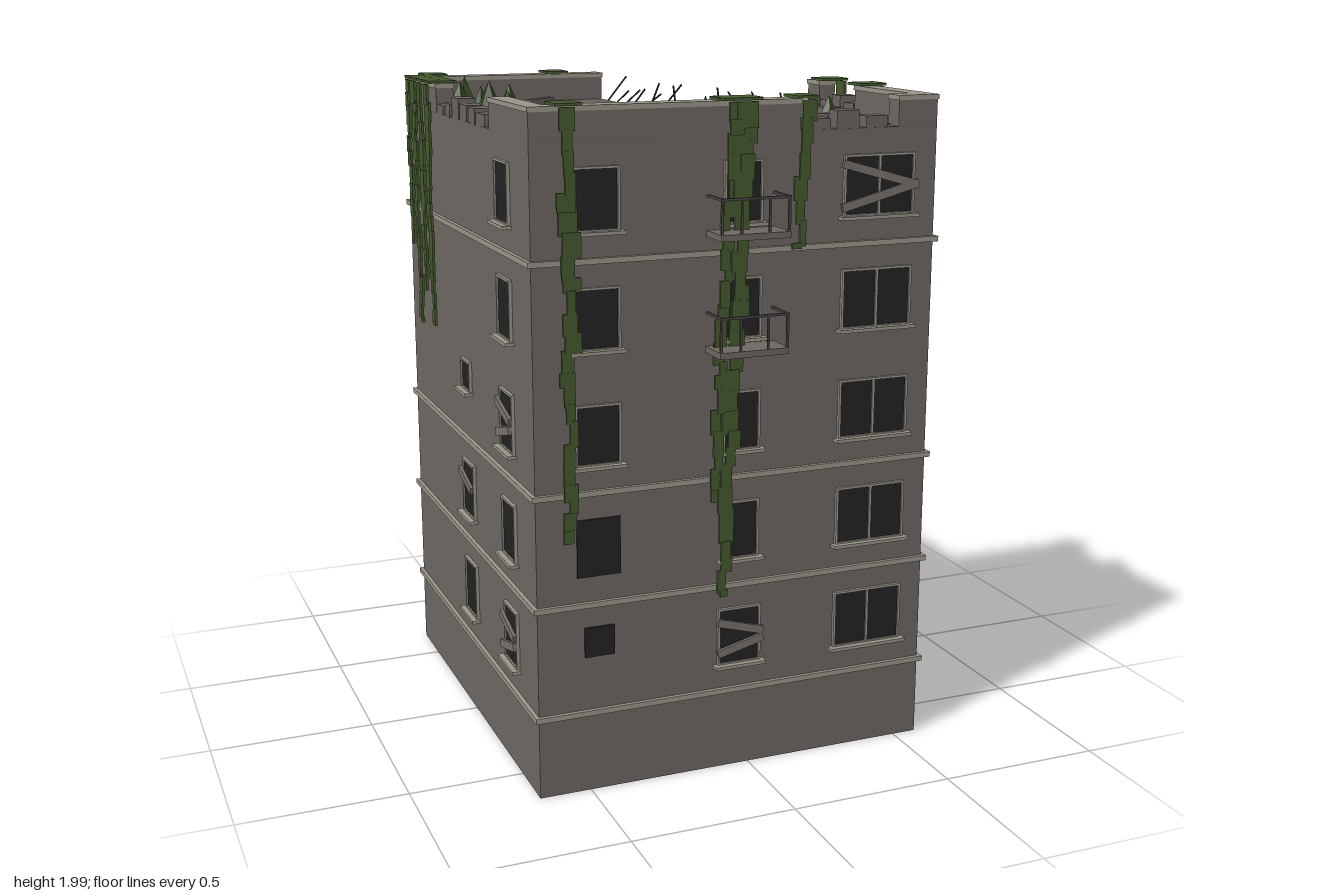
import * as THREE from 'three';

const mat = (name, color) => Object.assign(new THREE.MeshStandardMaterial({ color }), { name });

export function createModel() {
  const M = {
    wall: mat('wall concrete', 0x6e6763),
    roof: mat('roof surface', 0x65605b),
    trim: mat('pale trim', 0x9a948a),
    glass: mat('dark opening', 0x222222),
    rubble: mat('rubble', 0x6a6460),
    wood: mat('weathered board', 0x77706a),
    rail: mat('railing metal', 0x4c4745),
    bar: mat('rebar', 0x151413),
    vine: mat('vine', 0x45592f),
    bush: mat('bush', 0x32471f),
  };
  M.bush.flatShading = true;
  let seed = 11;
  const rnd = (a = 0, b = 1) => {
    seed = (seed * 16807) % 2147483647;
    return a + (b - a) * (seed / 2147483647);
  };
  const root = new THREE.Group();
  root.name = 'ruinedApartmentBlock';
  const group = (name, parent = root) => {
    const g = new THREE.Group();
    g.name = name;
    parent.add(g);
    return g;
  };
  const box = (parent, name, m, w, h, d, x, y, z, rx = 0, ry = 0, rz = 0) => {
    const b = new THREE.Mesh(new THREE.BoxGeometry(w, h, d), m);
    b.name = name;
    b.position.set(x, y, z);
    b.rotation.set(rx, ry, rz);
    parent.add(b);
    return b;
  };
  // box given by its extents
  const span = (parent, name, m, x0, x1, y0, y1, z0, z1) =>
    box(parent, name, m, x1 - x0, y1 - y0, z1 - z0, (x0 + x1) / 2, (y0 + y1) / 2, (z0 + z1) / 2);

  const X0 = -0.655, X1 = 0.575, Z = 0.67, NX = 0.01, NZ = -0.05, FLOOR = 1.24, TOP = 1.885;

  // Main body with the collapsed back corner
  const body = group('body');
  span(body, 'lowerBlock', M.wall, X0, X1, 0, FLOOR, -Z, Z);
  span(body, 'upperFront', M.wall, X0, X1, FLOOR, TOP, NZ, Z);
  span(body, 'upperBack', M.wall, X0, NX, FLOOR, TOP, -Z, NZ);
  span(body, 'roofFront', M.roof, X0, X1, TOP, TOP + 0.004, NZ, Z);
  span(body, 'roofBack', M.roof, X0, NX, TOP, TOP + 0.004, -Z, NZ);
  span(body, 'innerWallFront', M.glass, NX, X1, FLOOR, TOP, NZ - 0.006, NZ);
  span(body, 'innerWallSide', M.glass, NX, NX + 0.006, FLOOR, TOP, -Z, NZ);

  // Floor bands
  for (const y of [0.245, 0.575, 0.905])
    span(body, 'floorBand', M.trim, X0 - 0.012, X1 + 0.012, y - 0.008, y + 0.008, -Z - 0.012, Z + 0.012);
  span(body, 'upperBandFront', M.trim, X0 - 0.012, X1 + 0.012, 1.552, 1.568, NZ + 0.002, Z + 0.012);
  span(body, 'upperBandBack', M.trim, X0 - 0.012, NX - 0.002, 1.552, 1.568, -Z - 0.012, NZ + 0.01);

  // Parapet runs with pale caps, and broken blocks in the gaps
  const parapet = group('parapet');
  for (const [x0, x1, z0, z1] of [
    [X0, 0.14, 0.61, Z], [0.45, X1, 0.61, Z], [X0, -0.6, 0.3, 0.61], [X0, -0.6, -0.61, -0.28],
    [X0, NX, -Z, -0.61], [0.52, X1, 0.27, 0.61], [0.52, X1, NZ, 0.03]]) {
    span(parapet, 'parapetWall', M.wall, x0, x1, TOP, 1.963, z0, z1);
    span(parapet, 'parapetCap', M.trim, x0 - 0.003, x1 + 0.003, 1.963, 1.977, z0 - 0.003, z1 + 0.003);
  }
  for (let z = -0.24; z < 0.3; z += 0.09) {
    const h = rnd(0.03, 0.07);
    box(parapet, 'brokenBlock', M.rubble, 0.055, h, 0.08, -0.627, TOP + h / 2, z, 0, rnd(-0.1, 0.1));
  }
  for (let i = 0; i < 3; i++) {
    const h = rnd(0.03, 0.06);
    box(parapet, 'brokenBlock', M.rubble, 0.07, h, 0.055, 0.2 + i * 0.09, TOP + h / 2, 0.64, 0, rnd(-0.1, 0.1));
    box(parapet, 'brokenBlock', M.rubble, 0.055, h, 0.065, 0.547, TOP + h / 2, 0.07 + i * 0.08, 0, rnd(-0.1, 0.1));
  }

  // Each facade is a group whose local +z points out of the wall
  const facade = (name, x, z, ry) => {
    const g = group(name);
    g.position.set(x, 0, z);
    g.rotation.y = ry;
    return g;
  };
  const front = facade('frontFacade', 0, Z, 0);
  const right = facade('plusXFacade', X1, 0, Math.PI / 2); // local x = -z
  const back = facade('backFacade', 0, -Z, Math.PI); // local x = -x
  const left = facade('minusXFacade', X0, 0, -Math.PI / 2); // local x = z
  const rowY = (r) => 0.087 + r * 0.328;

  const win = (f, u, row, w, { h = 0.17, y = rowY(row), bars = 0, frame = true, boards = 0 } = {}) => {
    const g = group('window', f);
    g.position.set(u, y, 0);
    box(g, 'opening', M.glass, w, h, 0.006, 0, 0, 0.002);
    if (frame) {
      for (const s of [-1, 1]) {
        box(g, 'frameSide', M.trim, 0.007, h + 0.007, 0.012, s * w / 2, 0, 0.004);
        box(g, 'frameEdge', M.trim, w, 0.007, 0.012, 0, s * h / 2, 0.004);
      }
      box(g, 'sill', M.trim, w + 0.03, 0.01, 0.03, 0, -h / 2 - 0.006, 0.012);
    }
    if (bars) box(g, 'mullion', M.trim, 0.008, h, 0.01, 0, 0, 0.004);
    for (let i = 0; i < boards; i++)
      box(g, 'board', M.wood, w * 1.15, 0.024, 0.01, 0, 0.03 - i * 0.06, 0.016, 0, 0, i % 2 ? 0.25 : -0.28);
  };
  const balcony = (f, u, y, w) => {
    const g = group('balcony', f);
    g.position.set(u, y, 0);
    box(g, 'slab', M.wall, w, 0.018, 0.104, 0, 0, 0.052);
    box(g, 'frontRail', M.rail, w, 0.007, 0.007, 0, 0.105, 0.1);
    for (const s of [-1, 1]) {
      box(g, 'sideRail', M.rail, 0.007, 0.007, 0.1, s * (w / 2 - 0.004), 0.105, 0.05);
      box(g, 'cornerPost', M.rail, 0.007, 0.105, 0.007, s * (w / 2 - 0.004), 0.055, 0.1);
      box(g, 'innerPost', M.rail, 0.006, 0.105, 0.006, s * w * 0.2, 0.055, 0.1);
    }
  };

  // Windows
  for (let r = 1; r <= 5; r++) {
    if (r > 2) win(front, -0.47, r, 0.13);
    win(front, -0.035, r, r === 1 ? 0.13 : 0.11, { boards: r === 1 ? 2 : 0 });
    win(front, 0.39, r, 0.22, { bars: 1, boards: r === 5 ? 2 : 0 });
    win(back, 0.46, r, 0.12, { bars: r === 1 });
    win(left, 0.43, r, 0.12, { boards: r === 1 || r === 3 ? 2 : 0 });
    if (r > 3) continue;
    win(right, 0, r, 0.13, { bars: r === 1 });
    win(right, 0.43, r, r === 1 ? 0.22 : 0.11, { bars: r === 1, boards: r === 3 ? 2 : 0 });
    win(back, -0.39, r, 0.12, { boards: r === 3 ? 1 : 0 });
    if (r < 3) win(left, 0, r, 0.12, { boards: r === 2 ? 1 : 0 });
  }
  win(front, -0.47, 2, 0.13, { frame: false });
  win(front, -0.47, 1, 0.09, { h: 0.09, y: 0.46, frame: false });
  win(left, 0, 3, 0.09, { h: 0.09, y: 1.11 });

  // Balconies
  balcony(front, -0.04, 1.287, 0.21);
  balcony(front, -0.04, 1.615, 0.21);
  balcony(right, 0.43, 0.957, 0.3);
  balcony(back, -0.39, 0.632, 0.21);

  // Vines: overlapping thin leaf plates trailing down the wall
  const vine = (f, u0, u1, yEnd, w = 0.04) => {
    const g = group('vine', f);
    for (let y = 1.975; y > yEnd;) {
      const h = Math.min(rnd(0.04, 0.08), y - yEnd + 0.01), t = (1.975 - y) / (1.975 - yEnd);
      const lw = w * rnd(0.65, 1.35) * (1 - 0.35 * t);
      box(g, 'leafPlate', M.vine, lw, h, 0.008, u0 + (u1 - u0) * t + rnd(-0.01, 0.01), y - h / 2, 0.021 + rnd(0, 0.006));
      y -= h * 0.85;
    }
    box(g, 'vineCrown', M.vine, w * 1.7, 0.008, 0.09, u0, 1.982, -0.02);
  };
  vine(front, -0.55, -0.56, 0.78, 0.045);
  vine(front, -0.03, -0.1, 0.56, 0.05);
  vine(front, -0.07, -0.13, 0.85);
  vine(front, 0.15, 0.13, 1.57);
  vine(right, -0.28, -0.28, 0.73, 0.05);
  vine(right, -0.03, -0.02, 1.24, 0.05);
  vine(back, 0.57, 0.58, 0.78, 0.045);
  vine(back, 0.15, 0.14, 0.95, 0.045);
  for (const [u, y] of [[-0.55, 1.45], [-0.47, 1.2], [-0.39, 1.32], [-0.31, 1.22]]) vine(left, u, u + 0.01, y, 0.045);

  // Moss plates on the roof and parapet
  const moss = group('moss');
  for (const [x0, x1, z0, z1, y] of [
    [-0.6, -0.555, -0.55, 0.48, TOP], [-0.35, 0.06, 0.565, 0.61, TOP], [0.36, 0.45, 0.57, 0.62, TOP],
    [-0.47, -0.4, -0.61, -0.565, TOP], [0.47, 0.52, -0.02, 0.12, TOP], [0.47, 0.52, 0.25, 0.31, TOP],
    [X0, -0.595, -0.5, -0.29, 1.977], [0.515, X1, 0.27, 0.31, 1.977], [-0.11, 0.01, 0.605, Z, 1.977]])
    span(moss, 'mossPatch', M.vine, x0, x1, y, y + 0.008, z0, z1);

  // Roof bushes: five-sided spikes
  const bushes = group('bushes');
  for (const [x, z, s] of [
    [-0.53, -0.4, 0.05], [-0.56, -0.35, 0.045], [-0.47, -0.33, 0.045], [-0.48, -0.39, 0.035], [-0.41, -0.31, 0.04],
    [-0.44, -0.23, 0.035], [0.03, 0.25, 0.035], [-0.02, 0.3, 0.032], [0.05, 0.35, 0.032], [0.06, 0.44, 0.04],
    [0.07, 0.52, 0.022], [0.33, 0.28, 0.034], [0.4, 0.33, 0.034], [0.32, 0.375, 0.022]]) {
    const h = s * 2.1;
    const c = new THREE.Mesh(new THREE.ConeGeometry(s, h, 5), M.bush);
    c.name = 'bush';
    c.position.set(x, TOP + h / 2, z);
    c.rotation.y = rnd(0, 6);
    bushes.add(c);
  }

  // Loose debris on the roof
  const debris = group('roofDebris');
  for (const [x, z, w, d, a] of [
    [-0.26, -0.46, 0.14, 0.025, 0.7], [-0.54, 0.07, 0.09, 0.05, -0.8], [-0.54, 0.38, 0.05, 0.09, 0.2],
    [0.3, 0.05, 0.06, 0.07, 0.6], [0.46, 0.19, 0.09, 0.05, -0.7], [0, 0.415, 0.19, 0.02, 0.25],
    [0.31, 0.49, 0.16, 0.02, 0.8], [0.19, 0.55, 0.09, 0.05, 0.25], [0.35, 0.55, 0.1, 0.05, -0.3],
    [-0.54, -0.23, 0.05, 0.09, 0.1], [0.06, 0.48, 0.06, 0.06, 0.1], [0.37, 0.4, 0.07, 0.04, 0.7]])
    box(debris, 'chunk', M.rubble, w, 0.022, d, x, TOP + 0.013, z, 0, a);

  // Rubble heap and fallen slabs in the collapsed corner
  const heap = group('rubbleHeap');
  for (let i = 0; i < 85; i++) {
    const s = rnd(0.03, 0.085);
    box(heap, 'rubbleChunk', M.rubble, s * rnd(0.8, 1.5), s * rnd(0.3, 0.7), s, rnd(0.06, 0.53),
      FLOOR + rnd(0.01, 0.07), rnd(-0.62, -0.09), rnd(-0.5, 0.5), rnd(0, 3), rnd(-0.5, 0.5));
  }
  for (const [x, y, z, w, d, a, t] of [
    [0.23, 1.31, -0.52, 0.17, 0.15, 0.7, 0.35], [0.27, 1.3, -0.31, 0.22, 0.14, 0.3, -0.3],
    [0.36, 1.29, -0.2, 0.25, 0.09, -0.05, 0.25], [0.13, 1.3, -0.18, 0.13, 0.08, 1, 0.3], [0.4, 1.3, -0.5, 0.12, 0.1, 0.4, -0.4]])
    box(heap, 'fallenSlab', M.rubble, w, 0.022, d, x, y, z, t, a, t * 0.6);

  // Torn floor edge and bent rebar along the inner walls
  const torn = group('tornFloor');
  const rebar = (x, y, z, dx, dy, dz) => {
    const a = new THREE.Vector3(x, y, z), d = new THREE.Vector3(dx, dy, dz);
    const b = new THREE.Mesh(new THREE.CylinderGeometry(0.003, 0.003, d.length(), 5), M.bar);
    b.name = 'rebar';
    b.position.copy(a).addScaledVector(d, 0.5);
    b.quaternion.setFromUnitVectors(new THREE.Vector3(0, 1, 0), d.normalize());
    torn.add(b);
  };
  for (let i = 0; i < 7; i++) {
    const k = rnd(0.03, 0.07), z = -0.09 - i * 0.08, x = 0.06 + i * 0.075;
    box(torn, 'floorStub', M.wall, k, 0.022, 0.082, NX + k / 2, 1.56, z);
    box(torn, 'floorStub', M.wall, 0.077, 0.022, k, x, 1.56, NZ - k / 2);
    rebar(NX, TOP - 0.01, z, rnd(0.04, 0.08), rnd(0.02, 0.1), rnd(-0.03, 0.03));
    rebar(x, TOP - 0.01, NZ, rnd(-0.03, 0.03), rnd(0.02, 0.1), -rnd(0.04, 0.09));
    if (i % 2) continue;
    rebar(NX + 0.02, 1.56, z, rnd(0.05, 0.08), rnd(0, 0.06), rnd(-0.03, 0.03));
    rebar(x, 1.56, NZ - 0.02, rnd(-0.03, 0.03), rnd(0, 0.07), -rnd(0.05, 0.09));
  }
  return root;
}
